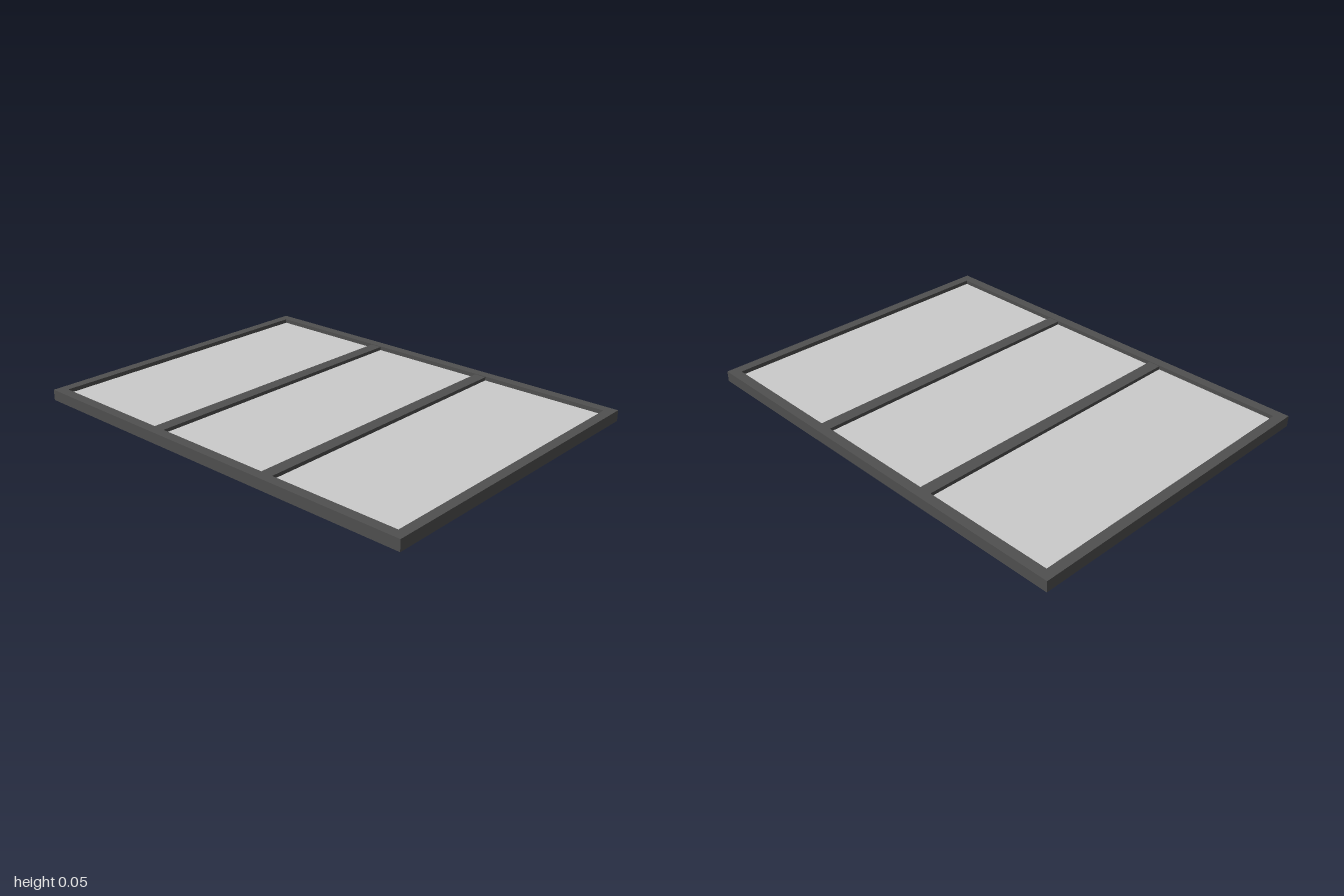
import * as THREE from 'three';

export function createModel() {
  const group = new THREE.Group();
  const W = 2, D = 1.495, H = 0.05, T = 0.046; // outer size and rail width
  const MX = 0.317, MW = 0.058;                // mullion position and width
  const frameMat = new THREE.MeshStandardMaterial({ color: 0x505050 });
  const paneMat = new THREE.MeshStandardMaterial({ color: 0xcccccc });

  const box = (name, w, h, d, x, y, z, mat) => {
    const mesh = new THREE.Mesh(new THREE.BoxGeometry(w, h, d), mat);
    mesh.name = name;
    mesh.position.set(x, y, z);
    group.add(mesh);
  };

  // Outer frame rails and the two mullions
  for (const [side, s] of [['left', 1], ['right', -1]]) {
    box(`${side}Stile`, T, H, D - 2 * T, s * (W - T) / 2, H / 2, 0, frameMat);
    box(`${side}Mullion`, MW, H - 0.006, D - 2 * T, s * MX, H / 2, 0, frameMat);
  }
  for (const [end, s] of [['front', 1], ['back', -1]]) {
    box(`${end}Rail`, W, H, T, 0, H / 2, s * (D - T) / 2, frameMat);
  }

  // Thin panes between the bars, set at mid height
  const inner = W / 2 - T, edge = MX + MW / 2;
  const paneW = inner - edge;
  box('centrePane', 2 * MX - MW, 0.012, D - 2 * T, 0, H / 2, 0, paneMat);
  for (const [side, s] of [['left', 1], ['right', -1]]) {
    box(`${side}Pane`, paneW, 0.012, D - 2 * T, s * (edge + inner) / 2, H / 2, 0, paneMat);
  }
  return group;
}
